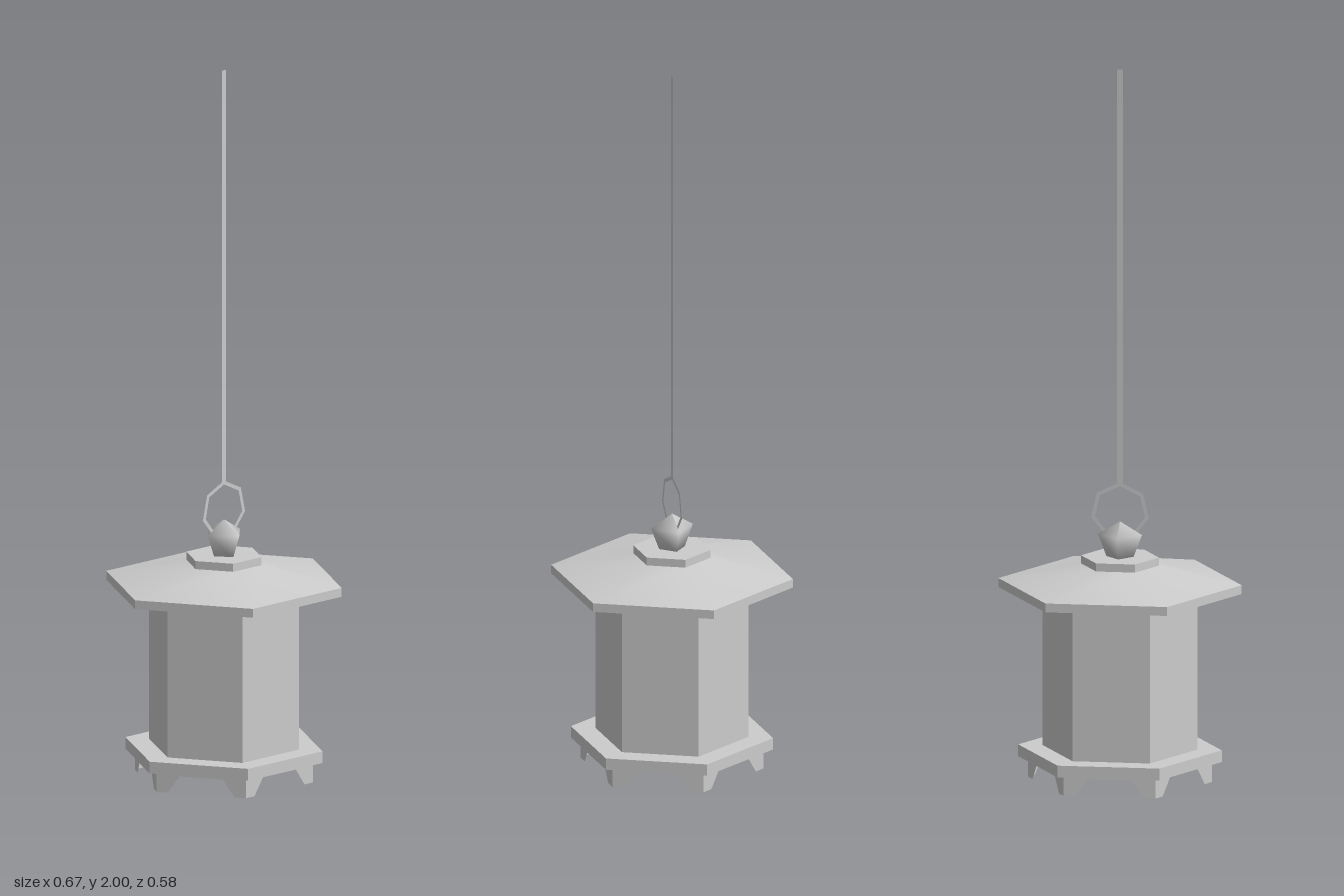
import * as THREE from 'three';

export function createModel() {
  const group = new THREE.Group();
  const stone = new THREE.MeshStandardMaterial({ color: 0xcccccc, side: THREE.DoubleSide });
  stone.name = 'grey';

  const add = (name, geometry, y = 0) => {
    const mesh = new THREE.Mesh(geometry, stone);
    mesh.name = name;
    mesh.position.y = y;
    group.add(mesh);
    return mesh;
  };

  // Hexagonal prism or frustum with corners on the x axis, from y0 to y1
  const hex = (name, rBottom, rTop, y0, y1, smooth = false) => {
    let g = new THREE.CylinderGeometry(rTop, rBottom, y1 - y0, 6, 1, false, Math.PI / 2);
    if (!smooth) {
      g = g.toNonIndexed();
      g.computeVertexNormals();
    }
    return add(name, g, (y0 + y1) / 2);
  };

  hex('basePlate', 0.282, 0.282, 0.057, 0.09);
  hex('body', 0.214, 0.214, 0.09, 0.535);
  hex('eaves', 0.337, 0.337, 0.532, 0.557);
  hex('roof', 0.337, 0.1, 0.557, 0.607, true);
  hex('roofCap', 0.108, 0.108, 0.605, 0.628);

  // Skirt of six thin walls, each cut away between its corner feet
  const r = 0.255, half = r / 2, apothem = r * Math.cos(Math.PI / 6);
  const skirt = new THREE.Shape([
    [-half, 0], [-0.095, 0], [-0.062, 0.048], [0.062, 0.048],
    [0.095, 0], [half, 0], [half, 0.058], [-half, 0.058],
  ].map(([x, y]) => new THREE.Vector2(x, y)));
  for (let i = 0; i < 6; i++) {
    const g = new THREE.ShapeGeometry(skirt);
    g.translate(0, 0, apothem);
    g.rotateY(i * Math.PI / 3);
    add('footWall', g);
  }

  // Four-sided finial
  const profile = [[0, 0.626], [0.037, 0.626], [0.061, 0.69], [0, 0.727]];
  add('finial', new THREE.LatheGeometry(profile.map(([x, y]) => new THREE.Vector2(x, y)), 4));

  // Flat hanging ring and flat cord
  add('hangingRing', new THREE.RingGeometry(0.071, 0.082, 7, 1, Math.PI / 2), 0.755);
  add('cord', new THREE.PlaneGeometry(0.016, 1.167), 1.4165);

  return group;
}
